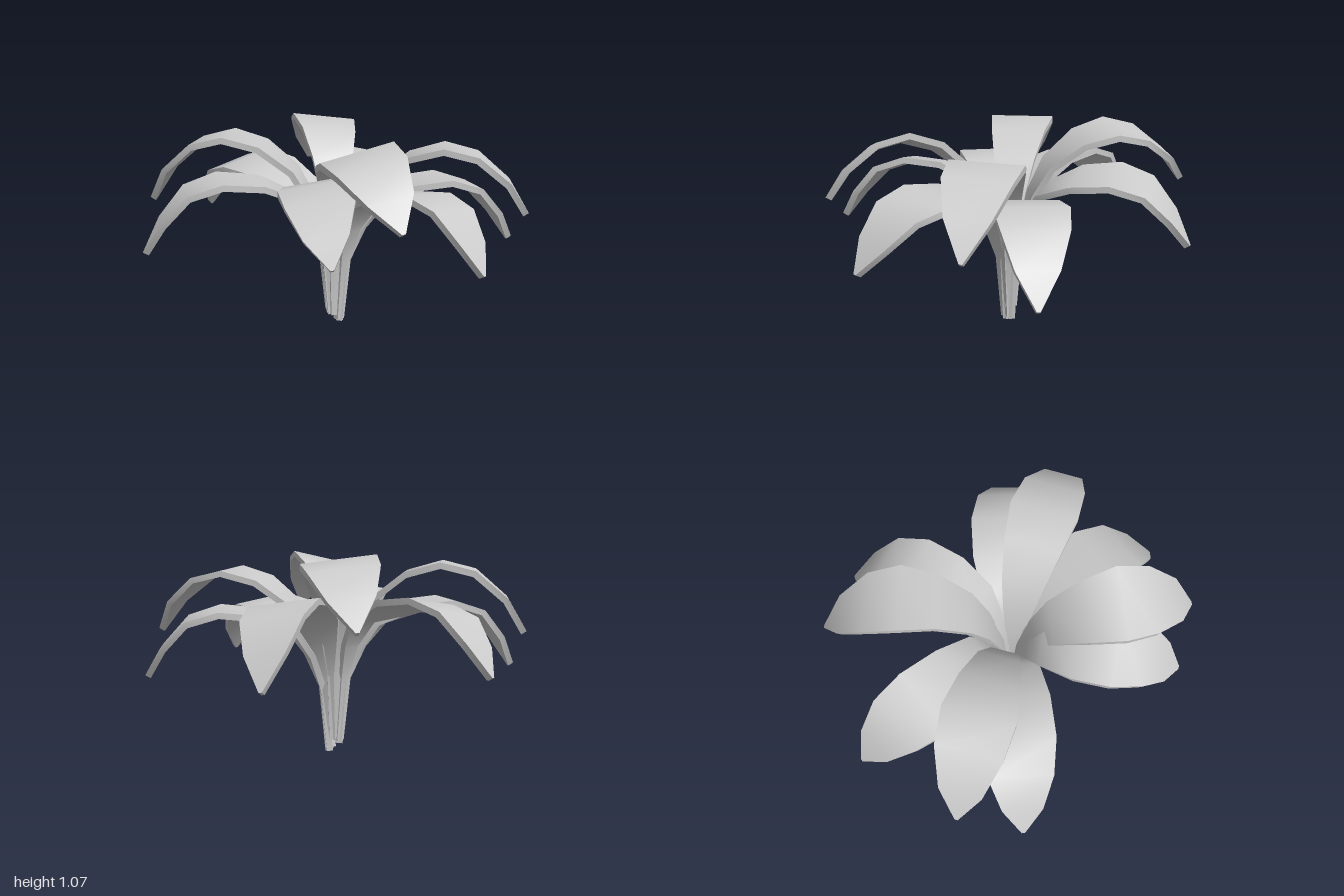
import * as THREE from 'three';
import { toCreasedNormals } from 'three/addons/utils/BufferGeometryUtils.js';

// Leaf stations: [outward distance as a share of the reach, height, half width]
const UPPER = [
  [0.026, 0, 0.025], [0.055, 0.36, 0.035], [0.13, 0.62, 0.075], [0.22, 0.78, 0.11],
  [0.39, 0.91, 0.15], [0.57, 0.96, 0.178], [0.74, 0.92, 0.162], [0.9, 0.79, 0.105], [1, 0.63, 0.008],
];
const LOWER = [
  [0.026, 0, 0.025], [0.06, 0.34, 0.035], [0.12, 0.52, 0.08], [0.21, 0.66, 0.13],
  [0.4, 0.74, 0.168], [0.61, 0.762, 0.18], [0.78, 0.71, 0.157], [0.91, 0.57, 0.1], [1, 0.42, 0.008],
];
const THICKNESS = 0.032;

// Tip position, lift of the whole leaf, rise of the tip alone,
// sideways sway of the middle, and how far the blade leans down towards its sway
const LEAVES = [
  { name: 'upperLeafBack', profile: UPPER, x: 0.05, z: -0.93, lift: 0.07, tipRise: 0.05, sway: 0.035, lean: 0.12 },
  { name: 'upperLeafRight', profile: UPPER, x: -0.93, z: -0.316, lift: 0.045, tipRise: -0.015, sway: 0, lean: 0 },
  { name: 'upperLeafFront', profile: UPPER, x: 0.07, z: 0.925, lift: 0.04, tipRise: 0.055, sway: 0.065, lean: 0.23 },
  { name: 'upperLeafLeft', profile: UPPER, x: 0.915, z: 0.374, lift: 0, tipRise: 0, sway: -0.012, lean: -0.04 },
  { name: 'lowerLeafBackLeft', profile: LOWER, x: 0.442, z: -0.825, lift: 0.07, tipRise: 0, sway: 0.055, lean: 0.14 },
  { name: 'lowerLeafBackRight', profile: LOWER, x: -0.588, z: -0.783, lift: 0.06, tipRise: 0.035, sway: -0.06, lean: -0.16 },
  { name: 'lowerLeafRight', profile: LOWER, x: -0.987, z: 0, lift: 0.04, tipRise: -0.015, sway: 0, lean: 0 },
  { name: 'lowerLeafFrontRight', profile: LOWER, x: -0.217, z: 0.85, lift: 0.09, tipRise: 0.055, sway: 0.08, lean: 0.18 },
  { name: 'lowerLeafFrontLeft', profile: LOWER, x: 0.497, z: 0.802, lift: 0.01, tipRise: 0.035, sway: -0.055, lean: -0.13 },
  { name: 'lowerLeafLeft', profile: LOWER, x: 0.977, z: 0.06, lift: 0, tipRise: 0, sway: -0.03, lean: -0.03 },
];

// A thick blade: one four-cornered section per station, joined in a strip
function leafGeometry({ profile, x, z, lift, tipRise, sway, lean }) {
  const reach = Math.hypot(x, z);
  const ux = x / reach, uz = z / reach;
  const positions = [], index = [];
  const last = profile.length - 1;

  profile.forEach(([q, height, half], i) => {
    const before = profile[Math.max(i - 1, 0)], after = profile[Math.min(i + 1, last)];
    const dr = (after[0] - before[0]) * reach, dy = after[1] - before[1];
    const len = Math.hypot(dr, dy);
    const shift = sway * 4 * q * (1 - q);
    const roll = lean * Math.min(1, 3 * q);
    const y = height + lift + tipRise * q ** 8;
    for (const [side, face] of [[1, 1], [-1, 1], [-1, -1], [1, -1]]) {
      const t = face * THICKNESS / 2;
      const r = q * reach - dy / len * t;
      const w = side * half;
      positions.push(
        ux * r - uz * (w + shift),
        y + dr / len * t - w * roll,
        uz * r + ux * (w + shift),
      );
    }
  });

  for (let i = 0; i < last; i++) {
    for (let k = 0; k < 4; k++) {
      const a = i * 4 + k, b = i * 4 + (k + 1) % 4;
      index.push(a, a + 4, b, b, a + 4, b + 4);
    }
  }
  const e = last * 4;
  index.push(0, 1, 2, 0, 2, 3, e, e + 2, e + 1, e, e + 3, e + 2);

  const geometry = new THREE.BufferGeometry();
  geometry.setAttribute('position', new THREE.Float32BufferAttribute(positions, 3));
  geometry.setIndex(index);
  return toCreasedNormals(geometry, 0.7);
}

export function createModel() {
  const plant = new THREE.Group();
  plant.name = 'leafyPlant';
  const material = new THREE.MeshStandardMaterial({ color: 0xcccccc });
  for (const leaf of LEAVES) {
    const mesh = new THREE.Mesh(leafGeometry(leaf), material);
    mesh.name = leaf.name;
    plant.add(mesh);
  }
  return plant;
}
